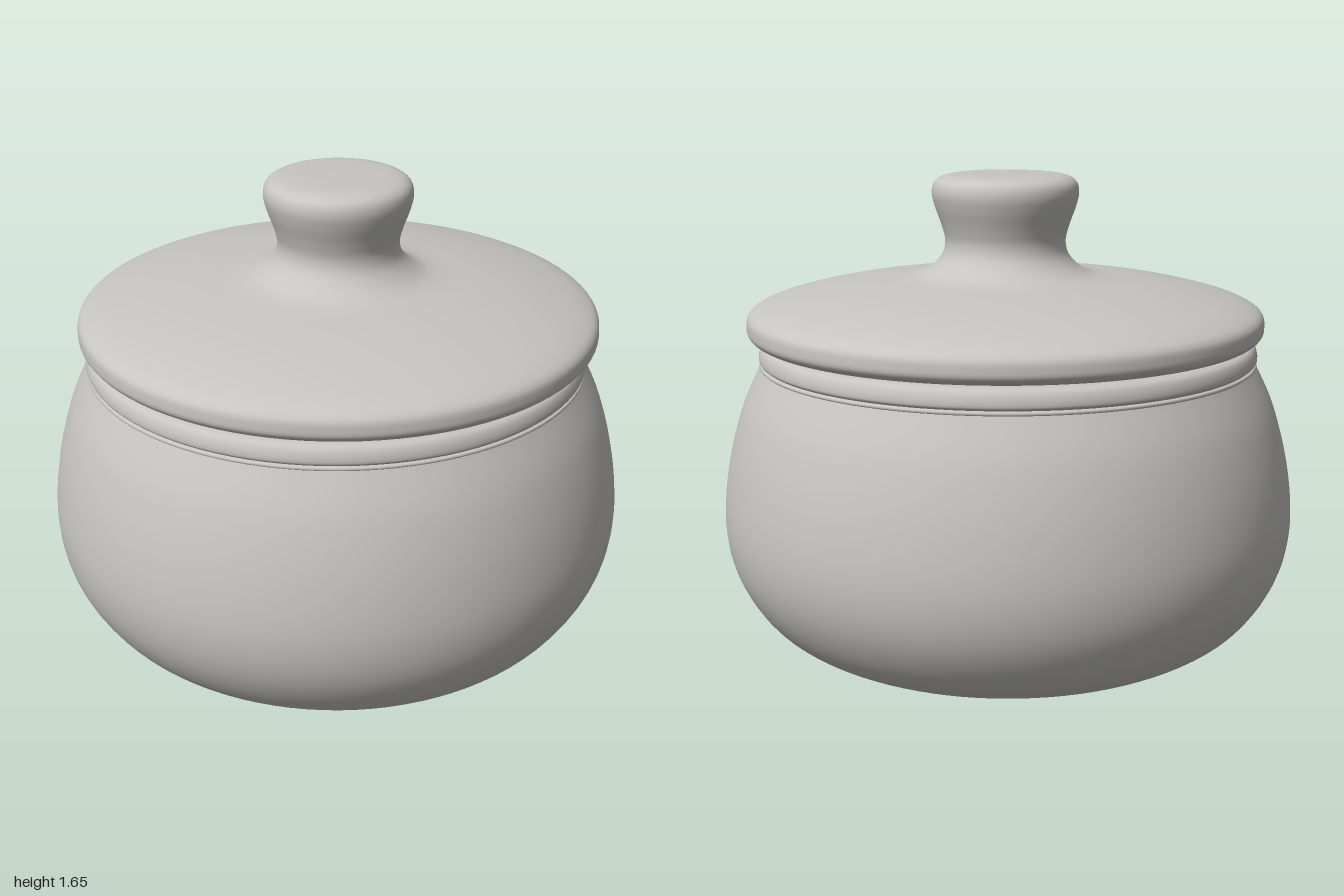
import * as THREE from 'three';

const clay = new THREE.MeshStandardMaterial({ color: 0xc6c5c2 });
clay.name = 'light grey clay';

// Revolve a smooth curve drawn through a few [radius, height] points
function turned(name, points, samples = 40) {
  const curve = new THREE.SplineCurve(points.map(([r, y]) => new THREE.Vector2(r, y)));
  const profile = curve.getPoints(samples);
  profile.forEach((p) => { p.x = Math.max(p.x, 0); });
  const mesh = new THREE.Mesh(new THREE.LatheGeometry(profile, 96), clay);
  mesh.name = name;
  return mesh;
}

export function createModel() {
  const model = new THREE.Group();
  model.name = 'liddedPot';

  // Pot: rounded belly, banded rim and hollow inside
  const pot = new THREE.Group();
  pot.name = 'pot';
  pot.add(
    turned('base', [[0, 0.015], [0.3, 0.014], [0.48, 0.006], [0.6, 0]], 16),
    turned('belly', [[0.6, 0], [0.74, 0.04], [0.87, 0.13], [0.965, 0.28], [1, 0.45],
      [0.982, 0.65], [0.93, 0.85], [0.862, 1]], 56),
    turned('lowerBead', [[0.858, 0.998], [0.865, 1.003], [0.864, 1.011], [0.856, 1.014]], 8),
    turned('rimBand', [[0.856, 1.014], [0.866, 1.025], [0.864, 1.05], [0.852, 1.073],
      [0.825, 1.082], [0.79, 1.08], [0.775, 1.06]], 28),
    turned('inside', [[0.775, 1.06], [0.83, 0.88], [0.89, 0.65], [0.905, 0.45], [0.87, 0.29],
      [0.78, 0.17], [0.6, 0.1], [0.3, 0.09], [0, 0.09]], 44),
  );

  // Lid: rounded edge, shallow dome flowing into a flared knob, seating ring below
  const lid = new THREE.Group();
  lid.name = 'lid';
  lid.add(
    turned('lidTop', [[0.82, 1.09], [0.865, 1.097], [0.89, 1.118], [0.894, 1.145], [0.888, 1.175],
      [0.86, 1.198], [0.79, 1.224], [0.65, 1.257], [0.5, 1.281], [0.34, 1.3], [0.27, 1.325],
      [0.222, 1.37], [0.208, 1.42], [0.22, 1.475], [0.243, 1.54], [0.253, 1.59], [0.24, 1.628],
      [0.195, 1.647], [0.1, 1.652], [0, 1.653]], 110),
    turned('lidUnderside', [[0.7, 1.04], [0.74, 1.04], [0.755, 1.06], [0.765, 1.085], [0.82, 1.09]], 20),
    turned('lidInside', [[0, 1.19], [0.3, 1.18], [0.55, 1.15], [0.66, 1.1], [0.7, 1.04]], 24),
  );
  lid.position.x = 0.012;
  lid.position.z = -0.003;

  model.add(pot, lid);
  return model;
}
